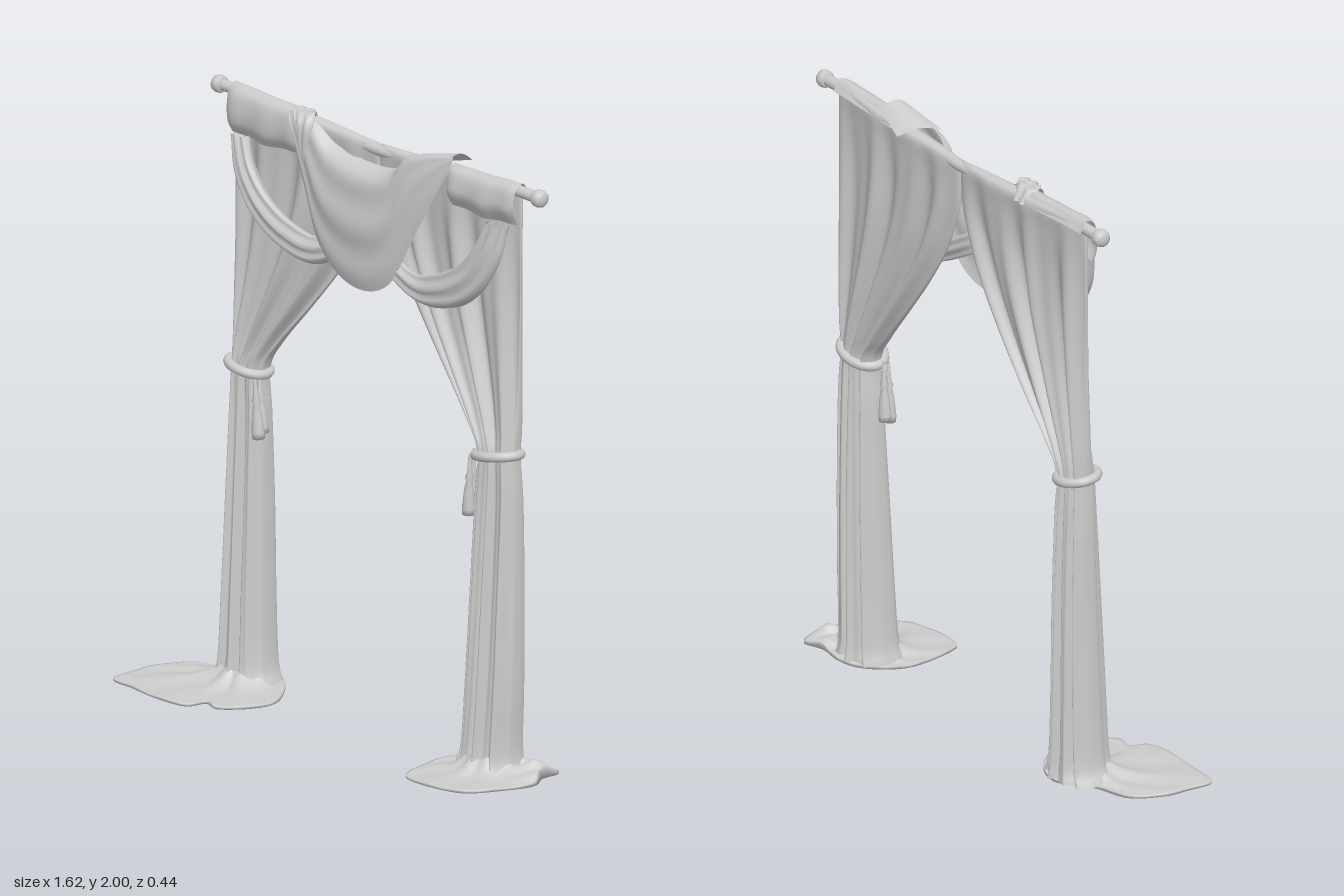
import * as THREE from 'three';

const mat = new THREE.MeshStandardMaterial({ color: 0xcccccc, side: THREE.DoubleSide });
const V = (x, y, z = 0) => new THREE.Vector3(x, y, z);
const curve = (pts, closed = false) =>
  new THREE.CatmullRomCurve3(pts.map(p => V(...p)), closed, 'catmullrom', 0.5);
const { sin, cos, abs, sign, min, max, PI, exp } = Math;

// Slight dip of the rod and curtain tops towards the middle
const dip = x => 0.03 * max(0, 1 - abs(x - 0.05) / 0.6);

// Smooth cloth surface from fn(u, v) -> [x, y, z]; wrap closes it around u.
function cloth(nu, nv, fn, wrap = false) {
  const pos = [], idx = [], cols = wrap ? nu : nu + 1;
  for (let j = 0; j <= nv; j++)
    for (let i = 0; i < cols; i++) pos.push(...fn(i / nu, j / nv));
  for (let j = 0; j < nv; j++)
    for (let i = 0; i < nu; i++) {
      const a = j * cols + i, b = j * cols + (i + 1) % cols;
      idx.push(a, b, a + cols, b, b + cols, a + cols);
    }
  const g = new THREE.BufferGeometry();
  g.setAttribute('position', new THREE.Float32BufferAttribute(pos, 3));
  g.setIndex(idx);
  g.computeVertexNormals();
  return g;
}

// Pleated curtain; each key row is y, outer x, inner x, centre z, half depth, pleat depth.
function curtain(keys, phase) {
  const edges = curve(keys.map(k => k.slice(0, 3)));
  const depth = curve(keys.map(k => k.slice(3)));
  return cloth(140, 80, (u, v) => {
    const e = edges.getPoint(v), d = depth.getPoint(v), t = u * PI * 2;
    const c = cos(t), s = sign(sin(t)) * abs(sin(t)) ** 0.7;
    const fold = sin(11 * c + phase + v) + 0.5 * sin(19 * c + phase * 2 - v);
    const x = (e.y + e.z) / 2 + c * (e.z - e.y) / 2;
    const y = e.x - dip(x) * min(1, max(0, (e.x - 1.7) / 0.2));
    return [x, y, d.x + s * d.y + fold * d.z * (0.3 + 0.7 * abs(s))];
  }, true);
}

// Cloth pooled on the floor, spreading from the curtain foot to an outline of x, z points.
function puddle(outline, cx, cz, bump) {
  const edge = curve(outline.map(([x, z]) => [x, 0, z]), true);
  return cloth(96, 18, (u, v) => {
    const p = edge.getPoint(u), a = Math.atan2(p.z - cz, p.x - cx);
    const bx = cx + 0.078 * cos(a), bz = cz + 0.078 * sin(a);
    if (v === 1) return [cx, 0, cz];
    const w = min(1, v * 18 / 16);
    const x = bx + (p.x - bx) * w, z = bz + (p.z - bz) * w;
    if (v > 16.5 / 18) return [x, 0, z];
    const ripple = 0.005 * (1 - w) * (1 + sin(a * 9)) + 0.001 * sin(a * 13 + w * 5);
    const lump = bump ? 0.045 * exp(-(((x - bump[0]) / 0.065) ** 2) - ((z - bump[1]) / 0.055) ** 2)
      * (0.85 + 0.25 * sin(x * 90 + z * 60)) : 0;
    return [x, 0.009 + 0.045 * (1 - w) ** 6 + ripple + lump, z];
  }, true);
}

// Rolled fold of cloth between an inner and an outer curve, tapering at its end.
function swag(inner, outer, thick) {
  const A = curve(inner), B = curve(outer);
  return cloth(28, 44, (u, v) => {
    const a = A.getPoint(v), b = B.getPoint(v), t = u * PI * 2;
    const k = 0.5 + 0.5 * cos(t), taper = Math.sqrt(1 - v ** 6);
    const z = a.z + (b.z - a.z) * k + taper * (thick * sin(t) + 0.006 * sin(k * 15 + v * 3));
    return [a.x + (b.x - a.x) * k, a.y + (b.y - a.y) * k, z];
  }, true);
}

// Short cloth flap folded over the rod, tucked back against the curtain below.
function flap(x0, x1, bottom) {
  const side = curve([[-0.168, 1.94], [-0.138, 1.974], [-0.1, 1.958], [-0.086, 1.91], [-0.088, bottom + 0.04], [-0.108, bottom]]);
  return cloth(30, 24, (u, v) => {
    const p = side.getPoint(v), end = (2 * u - 1) ** 8, x = x0 + (x1 - x0) * u;
    return [x + 0.006 * sin(v * 4), p.y + 0.004 * v * sin(u * 9) - dip(x) * (1 - v),
      p.x + 0.005 * v * sin(u * 14) - 0.025 * end * v];
  });
}

export function createModel() {
  const model = new THREE.Group();
  const add = (name, geo, parent = model) => {
    const m = new THREE.Mesh(geo, mat);
    m.name = name;
    parent.add(m);
    return m;
  };

  // Rod with a rounded finial at each end
  const axis = [-0.67, -0.55, -0.25, 0.05, 0.35, 0.65, 0.76].map(x => [x, 1.945 - dip(x), -0.14]);
  add('rod', new THREE.TubeGeometry(curve(axis), 40, 0.019, 16));
  const knob = [[0, 0], [0.022, 0], [0.028, 0.008], [0.029, 0.022], [0.025, 0.034], [0.013, 0.04], [0, 0.041]];
  for (const [x, s] of [[-0.662, 1], [0.752, -1]]) {
    const f = add('finial', new THREE.LatheGeometry(knob.map(p => new THREE.Vector2(...p)), 20));
    f.rotation.z = s * PI / 2;
    f.position.set(x, 1.945, -0.14);
  }

  // Curtains, gathered at the tiebacks
  add('rightCurtain', curtain([
    [1.97, -0.60, 0.046, -0.14, 0, 0], [1.95, -0.605, 0.048, -0.14, 0.026, 0.001],
    [1.88, -0.605, 0.046, -0.14, 0.024, 0.005], [1.75, -0.60, 0.025, -0.139, 0.021, 0.012],
    [1.6, -0.597, -0.042, -0.138, 0.021, 0.016], [1.45, -0.595, -0.145, -0.136, 0.024, 0.016],
    [1.3, -0.595, -0.27, -0.133, 0.03, 0.015], [1.15, -0.592, -0.40, -0.128, 0.038, 0.011],
    [1.05, -0.588, -0.458, -0.122, 0.046, 0.006], [0.9, -0.593, -0.455, -0.122, 0.05, 0.009],
    [0.6, -0.597, -0.447, -0.118, 0.06, 0.012], [0.3, -0.602, -0.44, -0.112, 0.07, 0.012],
    [0.08, -0.61, -0.43, -0.108, 0.078, 0.012], [0.01, -0.635, -0.41, -0.105, 0.09, 0.011]], 0.4));
  add('leftCurtain', curtain([
    [1.97, 0.685, 0.054, -0.14, 0, 0], [1.95, 0.69, 0.052, -0.14, 0.026, 0.001],
    [1.88, 0.69, 0.054, -0.14, 0.024, 0.005], [1.75, 0.685, 0.073, -0.139, 0.021, 0.012],
    [1.6, 0.682, 0.13, -0.138, 0.021, 0.016], [1.45, 0.682, 0.225, -0.136, 0.024, 0.016],
    [1.3, 0.682, 0.34, -0.133, 0.03, 0.015], [1.15, 0.682, 0.46, -0.128, 0.038, 0.011],
    [1.05, 0.68, 0.527, -0.122, 0.046, 0.006], [0.9, 0.688, 0.52, -0.122, 0.05, 0.009],
    [0.6, 0.69, 0.51, -0.118, 0.06, 0.012], [0.3, 0.69, 0.50, -0.112, 0.07, 0.012],
    [0.08, 0.685, 0.49, -0.108, 0.078, 0.012], [0.01, 0.70, 0.475, -0.105, 0.09, 0.011]], 2.1));

  // Pooled hems
  add('rightPuddle', puddle([[-0.81, 0.2], [-0.81, 0.1], [-0.8, 0.02], [-0.74, -0.08], [-0.62, -0.12], [-0.52, -0.19],
    [-0.42, -0.17], [-0.34, -0.09], [-0.30, -0.01], [-0.32, 0.07], [-0.39, 0.15], [-0.45, 0.14],
    [-0.48, 0.205], [-0.6, 0.22], [-0.71, 0.21]], -0.52, -0.1));
  add('leftPuddle', puddle([[0.43, -0.03], [0.45, 0.12], [0.49, 0.16], [0.6, 0.155], [0.7, 0.12],
    [0.76, 0.03], [0.805, -0.08], [0.775, -0.15], [0.775, -0.22], [0.7, -0.2], [0.61, -0.21], [0.53, -0.19],
    [0.46, -0.12]], 0.59, -0.1, [0.745, -0.14]));

  // Tiebacks, each with a hanging tassel
  const tassel = [[0, 0], [0.02, 0], [0.021, 0.02], [0.016, 0.08], [0.01, 0.11], [0.014, 0.125], [0.008, 0.14], [0.005, 0.2], [0, 0.2]];
  for (const [side, x0, y0, x1, y1, tx, tilt] of [
    ['right', -0.592, 1.062, -0.452, 1.038, -0.442, 0.09], ['left', 0.69, 1.068, 0.525, 1.035, 0.51, -0.04]]) {
    const loop = [];
    for (let i = 0; i < 16; i++) {
      const a = i / 16 * PI * 2, k = 0.5 - 0.5 * cos(a);
      loop.push([x0 + (x1 - x0) * k, y0 + (y1 - y0) * k + 0.006 * sin(a), -0.115 + 0.06 * sin(a)]);
    }
    add(side + 'Tieback', new THREE.TubeGeometry(curve(loop, true), 64, 0.016, 10, true));
    for (const [dx, dz, dy] of [[0, -0.08, 0], [-0.008, -0.105, 0.012]]) {
      const t = add(side + 'Tassel', new THREE.LatheGeometry(tassel.map(p => new THREE.Vector2(...p)), 14));
      t.position.set(tx + dx, 0.835 + dy, dz);
      t.rotation.z = tilt;
    }
  }

  // Valance: end flaps and rolled side swags meeting behind the drape
  add('rightFlap', flap(-0.612, -0.29, 1.815));
  add('leftFlap', flap(0.385, 0.69, 1.835));
  add('rightSwag', swag(
    [[-0.51, 1.825, -0.1], [-0.47, 1.74, -0.085], [-0.40, 1.66, -0.08], [-0.29, 1.6, -0.08], [-0.16, 1.585, -0.085], [0.03, 1.68, -0.09]],
    [[-0.575, 1.82, -0.1], [-0.54, 1.70, -0.085], [-0.46, 1.59, -0.075], [-0.34, 1.51, -0.075], [-0.18, 1.487, -0.08], [0.03, 1.6, -0.085]], 0.026));
  add('leftSwag', swag(
    [[0.58, 1.83, -0.1], [0.54, 1.74, -0.085], [0.47, 1.66, -0.08], [0.36, 1.6, -0.08], [0.24, 1.58, -0.085], [0.04, 1.68, -0.09]],
    [[0.672, 1.83, -0.1], [0.645, 1.71, -0.085], [0.57, 1.59, -0.075], [0.45, 1.51, -0.075], [0.27, 1.487, -0.08], [0.04, 1.6, -0.085]], 0.026));

  // Centre drape between its top and bottom edges, its top edge rolled back to the curtain
  const top = curve([[-0.32, 1.965, -0.1], [-0.215, 1.95, -0.085], [-0.12, 1.893, -0.075], [0.03, 1.873, -0.072],
    [0.15, 1.89, -0.075], [0.22, 1.955, -0.085], [0.41, 1.998, -0.11]]);
  const bottom = curve([[-0.31, 1.94, -0.085], [-0.225, 1.74, -0.07], [-0.155, 1.575, -0.062], [-0.06, 1.49, -0.06],
    [0.06, 1.468, -0.058], [0.17, 1.52, -0.062], [0.255, 1.67, -0.07], [0.335, 1.82, -0.08], [0.418, 1.985, -0.1]]);
  add('centreDrape', cloth(60, 44, (u, v) => {
    const a = top.getPoint(u), b = bottom.getPoint(u), p = a.lerp(b, v), mid = sin(PI * u);
    const roll = 0.05 * mid * exp(-v * 22);
    return [p.x, p.y, p.z - roll + 0.02 * sin(PI * v) * mid + 0.004 * mid * sin(v * 16 + 5 * (u - 0.5) ** 2)];
  }));

  // Gathered cloth where the drape crosses the rod
  add('drapeGather', swag(
    [[-0.33, 1.93, -0.16], [-0.325, 1.97, -0.125], [-0.28, 1.95, -0.085], [-0.25, 1.84, -0.078]],
    [[-0.25, 1.93, -0.16], [-0.225, 1.975, -0.12], [-0.205, 1.93, -0.08], [-0.225, 1.8, -0.075]], 0.014));
  add('drapeCorner', cloth(16, 16, (u, v) => {
    const x = 0.23 + 0.08 * v + u * (0.18 - 0.06 * v);
    const z = -0.08 - 0.02 * u - v * (0.12 - 0.045 * u);
    return [x, 1.955 + 0.04 * u + 0.018 * sin(PI * v) - 0.02 * v, z];
  }));
  return model;
}
